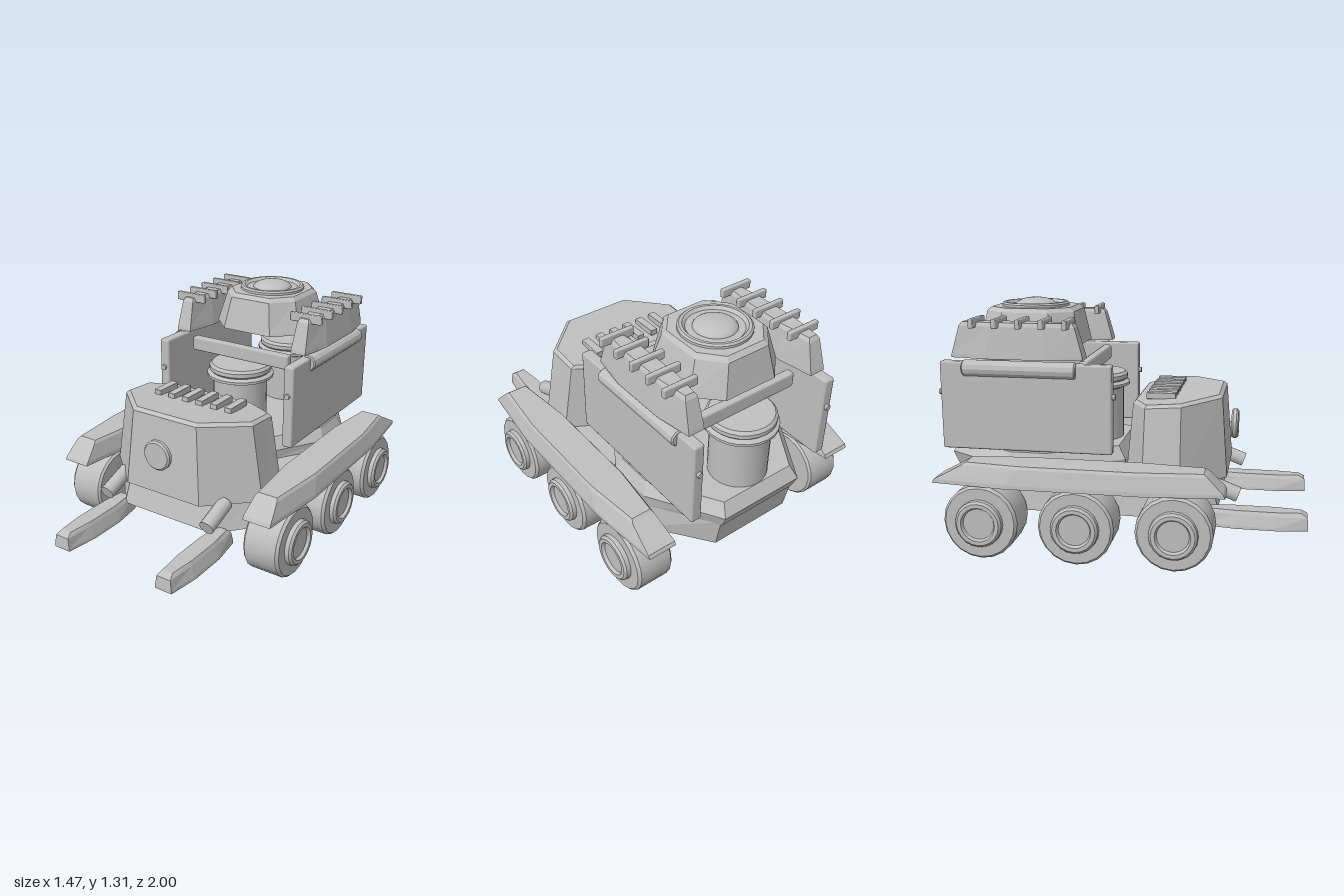
import * as THREE from 'three';
import { toCreasedNormals } from 'three/addons/utils/BufferGeometryUtils.js';
import { RoundedBoxGeometry } from 'three/addons/geometries/RoundedBoxGeometry.js';

// Eight-sided level: half width hx, front/back edge half widths ef/eb,
// front/back limits zf/zb, corner cut lengths cf/cb, optional rise along z
function level(y, hx, ef, eb, zf, zb, cf, cb, tilt = 0) {
  const right = [[ef, zf], [hx, zf - cf], [hx, zb + cb], [eb, zb]];
  const left = right.map(([x, z]) => [-x, z]).reverse();
  return [...right, ...left].map(([x, z]) => new THREE.Vector3(x, y + tilt * z, z));
}

// Joins levels from bottom to top into a closed faceted solid
function loft(levels) {
  const pts = [];
  const n = levels[0].length;
  for (let k = 0; k < levels.length - 1; k++) {
    const lo = levels[k], hi = levels[k + 1];
    for (let i = 0; i < n; i++) {
      const j = (i + 1) % n;
      pts.push(lo[i], lo[j], hi[j], lo[i], hi[j], hi[i]);
    }
  }
  const bottom = levels[0], top = levels[levels.length - 1];
  for (let i = 1; i < n - 1; i++) {
    pts.push(top[0], top[i], top[i + 1], bottom[0], bottom[i + 1], bottom[i]);
  }
  const geo = new THREE.BufferGeometry().setFromPoints(pts);
  geo.computeVertexNormals();
  return geo;
}

// Turned part around y, with sharp edges kept
function turned(profile, sides) {
  const points = profile.map(([r, y]) => new THREE.Vector2(r, y));
  return toCreasedNormals(new THREE.LatheGeometry(points, sides), 0.5);
}

export function createModel() {
  const model = new THREE.Group();
  model.name = 'sixWheeledVehicle';
  const grey = new THREE.MeshStandardMaterial({ color: 0xbfbfbf });
  grey.name = 'lightGrey';

  function add(name, geo, x = 0, y = 0, z = 0) {
    const mesh = new THREE.Mesh(geo, grey);
    mesh.name = name;
    mesh.position.set(x, y, z);
    model.add(mesh);
    return mesh;
  }
  const box = (w, h, d, r = 0.01) => new RoundedBoxGeometry(w, h, d, 1, r);

  // Hull and rear deck
  add('hull', loft([
    level(0.215, 0.49, 0.3, 0.24, 0.52, -0.93, 0.22, 0.33),
    level(0.4, 0.46, 0.28, 0.245, 0.47, -0.965, 0.22, 0.34),
  ]));
  add('rearDeck', loft([
    level(0.38, 0.47, 0.24, 0.24, -0.0, -0.97, 0.35, 0.35),
    level(0.455, 0.48, 0.25, 0.25, 0.0, -1.0, 0.37, 0.37),
    level(0.525, 0.45, 0.225, 0.225, -0.04, -0.955, 0.36, 0.36),
  ]));

  // Cab with sloping roof
  add('cab', loft([
    level(0.38, 0.49, 0.24, 0.27, 0.56, 0.01, 0.23, 0.12),
    level(0.775, 0.42, 0.205, 0.25, 0.525, 0.045, 0.2, 0.09, 0.07),
    level(0.79, 0.4, 0.195, 0.24, 0.505, 0.06, 0.19, 0.08, 0.075),
  ]));
  for (let i = 0; i < 6; i++) {
    add('roofSlat', box(0.045, 0.036, 0.16, 0.004), (i - 2.5) * 0.093, 0.82, 0.197);
  }
  const lamp = turned([[0, 0], [0.075, 0], [0.085, 0.01], [0.085, 0.028], [0.075, 0.038], [0, 0.038]], 14);
  add('headlamp', lamp, 0, 0.625, 0.567).rotation.x = Math.PI / 2;

  // Shared shapes for the paired parts
  const fender = loft([
    level(0.405, 0.122, 0.08, 0.08, 0.58, -0.95, 0.4, 0.4),
    level(0.425, 0.12, 0.08, 0.08, 0.57, -0.94, 0.4, 0.4),
    level(0.505, 0.1, 0.065, 0.065, 0.49, -0.79, 0.35, 0.32),
    level(0.52, 0.09, 0.055, 0.055, 0.47, -0.77, 0.34, 0.31),
  ]);
  const wheel = turned([
    [0, 0.49], [0.188, 0.49], [0.2, 0.502], [0.2, 0.685], [0.187, 0.7], [0.127, 0.7],
    [0.125, 0.723], [0.113, 0.735], [0.092, 0.735], [0.083, 0.718], [0, 0.718],
  ], 20);
  const ski = loft([
    level(0.15, 0.075, 0.05, 0.05, 1.0, 0.45, 0.17, 0.17),
    level(0.165, 0.073, 0.05, 0.05, 1.0, 0.45, 0.17, 0.17),
    level(0.222, 0.055, 0.042, 0.042, 0.995, 0.46, 0.16, 0.16),
    level(0.242, 0.045, 0.03, 0.03, 0.96, 0.48, 0.14, 0.14),
  ]);
  const pack = loft([
    level(1.03, 0.077, 0.045, 0.045, -0.19, -0.91, 0.2, 0.2),
    level(1.05, 0.075, 0.045, 0.045, -0.193, -0.907, 0.2, 0.2),
    level(1.2, 0.055, 0.035, 0.035, -0.235, -0.865, 0.17, 0.17),
    level(1.22, 0.045, 0.025, 0.025, -0.25, -0.85, 0.16, 0.16),
  ]);
  const roll = turned([[0, -0.31], [0.038, -0.31], [0.045, -0.303], [0.045, 0.303], [0.038, 0.31], [0, 0.31]], 12);
  const tube = new THREE.CylinderGeometry(0.042, 0.042, 0.19, 12);

  for (const s of [1, -1]) {
    add('fender', fender, s * 0.602);
    for (const z of [0.327, -0.18, -0.69]) {
      add('wheel', wheel, 0, 0.205, z).rotation.z = -s * Math.PI / 2;
    }
    add('ski', ski, s * 0.335);
    add('frontTube', tube, s * 0.335, 0.35, 0.54).rotation.x = Math.PI / 2 + 0.36;

    // Side wall with its pin and roll
    add('sideWall', box(0.062, 0.48, 0.94, 0.012), s * 0.42, 0.77, -0.505);
    add('wallPin', new THREE.CylinderGeometry(0.016, 0.016, 0.97, 8), s * 0.42, 0.84, -0.505)
      .rotation.x = Math.PI / 2;
    add('sideRoll', roll, s * 0.435, 0.975, -0.535).rotation.x = Math.PI / 2;

    // Upper side pack with cross rungs
    add('sidePack', pack, s * 0.388);
    for (let i = 0; i < 5; i++) {
      add('rung', box(0.195, 0.05, 0.027, 0.006), s * 0.388, 1.217, -0.275 - i * 0.126);
    }
  }

  // Cross bars and canisters fore and aft
  const canister = turned([
    [0, 0.48], [0.158, 0.48], [0.158, 0.815], [0.195, 0.83], [0.195, 0.845],
    [0.172, 0.857], [0.182, 0.868], [0.182, 0.89], [0.168, 0.905], [0, 0.905],
  ], 24);
  for (const z of [-0.215, -0.795]) {
    add('crossBar', box(0.65, 0.085, 0.05, 0.012), 0, 0.963, z);
    add('canister', canister, 0, 0, z);
  }

  // Turret, hatch ring and dome
  add('turret', loft([
    level(1.065, 0.28, 0.155, 0.155, 0.285, -0.285, 0.125, 0.125),
    level(1.08, 0.277, 0.153, 0.153, 0.282, -0.282, 0.124, 0.124),
    level(1.25, 0.23, 0.125, 0.125, 0.25, -0.25, 0.12, 0.12),
    level(1.272, 0.21, 0.115, 0.115, 0.225, -0.225, 0.11, 0.11),
  ]), 0, 0, -0.56);
  add('hatchRing', turned([
    [0.19, 1.265], [0.19, 1.285], [0.18, 1.294], [0.165, 1.294], [0.15, 1.278], [0, 1.278],
  ], 28), 0, 0, -0.562);
  const dome = new THREE.SphereGeometry(0.115, 24, 8, 0, Math.PI * 2, 0, Math.PI / 2);
  dome.scale(1, 0.36, 1);
  add('dome', dome, 0, 1.276, -0.562);

  return model;
}
